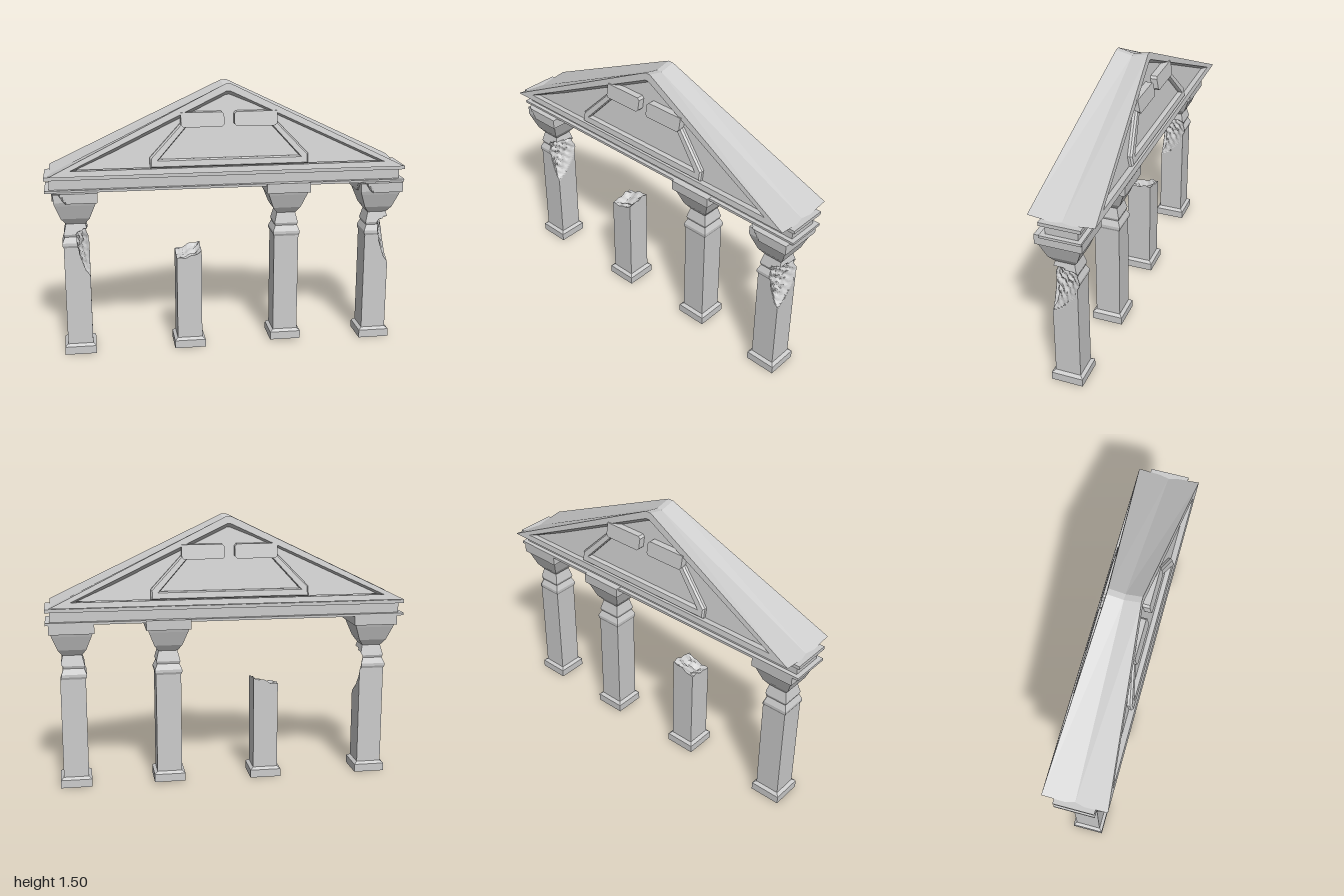
import * as THREE from 'three';

const stone = new THREE.MeshStandardMaterial({ color: 0xcccccc, flatShading: true, side: THREE.DoubleSide });

function add(parent, geometry, name) {
  const mesh = new THREE.Mesh(geometry, stone);
  mesh.name = name;
  parent.add(mesh);
  return mesh;
}

// Moves every vertex by a rule
function warp(geometry, rule) {
  const p = geometry.attributes.position, v = new THREE.Vector3();
  for (let i = 0; i < p.count; i++) {
    rule(v.fromBufferAttribute(p, i));
    p.setXYZ(i, v.x, v.y, v.z);
  }
  geometry.computeVertexNormals();
  return geometry;
}

const noise = (x, y, z) =>
  (Math.sin(x * 97 + y * 61 + 1.3) + Math.sin(y * 143 - z * 88) + Math.sin(z * 121 + x * 45 + y * 30)) / 3;

// Square-section turning: profile of [half width, height], bottom to top
function squareTurn(profile, segments = 8) {
  const g = new THREE.LatheGeometry(profile.map(([r, y]) => new THREE.Vector2(r, y)), segments);
  return warp(g, v => {
    const r = Math.hypot(v.x, v.z), m = Math.max(Math.abs(v.x), Math.abs(v.z));
    if (m > 1e-6) { v.x *= r / m; v.z *= r / m; }
  });
}

// Piecewise-linear lookup in a list of [value, height]
function valueAt(table, y) {
  for (let i = 1; i < table.length; i++) {
    const [a, y0] = table[i - 1], [b, y1] = table[i];
    if (y <= y1) return a + (b - a) * Math.max(0, y - y0) / (y1 - y0);
  }
  return table[table.length - 1][0];
}

// Breaks away whatever lies beyond a limit along the direction (nx, nz)
function chip(geometry, nx, nz, limit, rough) {
  return warp(geometry, v => {
    const over = v.x * nx + v.z * nz - limit(v.y);
    if (over <= 0) return;
    const cut = over + Math.min(over, 0.03) * rough * (1 + noise(v.x, v.y, v.z));
    v.x -= nx * cut;
    v.z -= nz * cut;
  });
}

const shaftProfile = [[0.07, 0.05], [0.07, 0.622], [0.076, 0.635], [0.076, 0.65], [0.062, 0.682], [0.067, 0.697], [0.05, 0.765]];
const gougeLimit = [[0.1, 0.44], [0.07, 0.49], [0.045, 0.57], [0.03, 0.66], [0.025, 0.7], [0.1, 0.74]];

function column(name, x, y, z, broken) {
  const g = new THREE.Group();
  g.name = name;
  g.position.set(x, y, z);
  add(g, squareTurn([[0, 0], [0.0875, 0], [0.0875, 0.045], [0.07, 0.058], [0, 0.058]]), 'base');

  // Shaft and neck, gouged at one front corner when broken
  if (broken) {
    const rows = shaftProfile.map(p => p[1]);
    for (let h = 0.44; h < 0.755; h += 0.012) rows.push(h);
    rows.sort((a, b) => a - b);
    const dense = rows.map(h => [valueAt(shaftProfile, h), h]);
    add(g, chip(squareTurn(dense, 64), 0.92, 0.38, h => valueAt(gougeLimit, h), 0.4), 'gougedShaft');
  } else add(g, squareTurn(shaftProfile), 'shaft');

  // Flared capital and its top slab
  add(g, squareTurn([[0, 0.755], [0.053, 0.755], [0.078, 0.79], [0.108, 0.87], [0.114, 0.89], [0.114, 0.935], [0, 0.935]]
    .map(([r, h]) => [r, h]), 8), 'capital');
  const slab = new THREE.BoxGeometry(0.246, 0.055, 0.25, 16, 4, 16).translate(0, 0.9125, 0);
  add(g, broken ? chip(slab, -0.707, 0.707, h => 0.135 + (h - 0.91) * 0.5, 0.4) : slab, 'capitalSlab');
  return g;
}

// Snapped column with a jagged, hollowed top
function stump(x, z) {
  const g = new THREE.Group();
  g.name = 'brokenColumn';
  g.position.set(x, 0, z);
  add(g, squareTurn([[0, 0], [0.0875, 0], [0.0875, 0.045], [0.07, 0.058], [0, 0.058]]), 'base');
  const shaft = new THREE.BoxGeometry(0.14, 1, 0.14, 10, 1, 10).translate(0, 0.5, 0);
  add(g, warp(shaft, v => {
    const rim = Math.max(Math.abs(v.x), Math.abs(v.z)) / 0.07;
    v.y *= 0.535 + 0.25 * v.x - 0.18 * v.z + 0.025 * rim * rim + 0.013 * noise(v.x, 0.3, v.z);
  }), 'snappedShaft');
  return g;
}

// Pediment face leans back: half depth at a given height
const halfDepth = y => 0.175 - (y - 1.04) * 0.185;
const RECESS = 0.03;

const shapeOf = pts => new THREE.Shape(pts.map(([x, y]) => new THREE.Vector2(x, y)));
const extrude = (shape, depth, extra = {}) =>
  new THREE.ExtrudeGeometry(shape, { depth, bevelEnabled: false, ...extra });

function pediment() {
  const g = new THREE.Group();
  g.name = 'pediment';
  const inner = [[-0.86, 1.07], [0.86, 1.07], [0.01, 1.467], [-0.01, 1.467]];

  // Gabled roof with a shallow valley along its middle and a flared opening
  const outline = shapeOf([[-0.975, 1.04], [0.975, 1.04], [0.016, 1.505], [-0.016, 1.505]]);
  outline.holes.push(shapeOf(inner));
  add(g, warp(extrude(outline, 2, { steps: 2 }).translate(0, 0, -1), v => {
    const t = v.z, opening = v.y > 1.05 && v.y < 1.48;
    v.z = t * halfDepth(v.y);
    if (opening && Math.abs(t) < 0.5) {
      v.x *= 0.85;
      v.y = 1.07 + (v.y - 1.07) * 0.85;
    }
    v.y -= 0.02 * (1 - Math.abs(t));
  }), 'roof');

  // Recessed wall
  add(g, warp(extrude(shapeOf(inner), 2).translate(0, 0, -1), v => {
    v.z *= halfDepth(v.y) - RECESS;
  }), 'tympanum');

  // Raised ornament on both faces
  const lean = v => { v.z += halfDepth(v.y) - RECESS; };
  for (const turn of [0, Math.PI]) {
    const face = new THREE.Group();
    face.name = turn ? 'backOrnament' : 'frontOrnament';
    face.rotation.y = turn;
    const frame = shapeOf([[-0.433, 1.07], [0.433, 1.07], [0.433, 1.125], [0.265, 1.3], [0.215, 1.3],
      [0.385, 1.113], [-0.385, 1.113], [-0.215, 1.3], [-0.265, 1.3], [-0.433, 1.125]]);
    add(face, warp(extrude(frame, 0.014, {
      bevelEnabled: true, bevelThickness: 0.01, bevelSize: 0.008, bevelOffset: -0.008, bevelSegments: 1,
    }), lean), 'trapezoidFrame');
    for (const s of [-1, 1]) {
      const bar = shapeOf([[0.04, 1.282], [0.25, 1.282], [0.262, 1.295], [0.262, 1.36],
        [0.04, 1.36], [0.028, 1.348], [0.028, 1.294]].map(([x, y]) => [s * x, y]));
      add(face, warp(extrude(bar, 0.037), lean), s < 0 ? 'rightBar' : 'leftBar');
    }
    g.add(face);
  }
  return g;
}

export function createModel() {
  const model = new THREE.Group();
  model.name = 'ruinedPortico';
  model.add(
    column('rightColumn', -0.84, 0, 0.018, true),
    stump(-0.22, 0.018),
    column('innerLeftColumn', 0.335, 0.012, 0, false),
    column('leftColumn', 0.86, 0, 0.018, true),
  );

  // Entablature: beam between two projecting bands
  const beam = new THREE.Group();
  beam.name = 'entablature';
  for (const [name, w, y0, y1, d] of [
    ['lowerBand', 2, 0.937, 0.951, 0.22],
    ['beam', 1.95, 0.945, 1.015, 0.172],
    ['upperBand', 2, 1.007, 1.026, 0.22],
  ]) add(beam, new THREE.BoxGeometry(w, y1 - y0, d).translate(0, (y0 + y1) / 2, 0), name);
  model.add(beam, pediment());
  return model;
}
